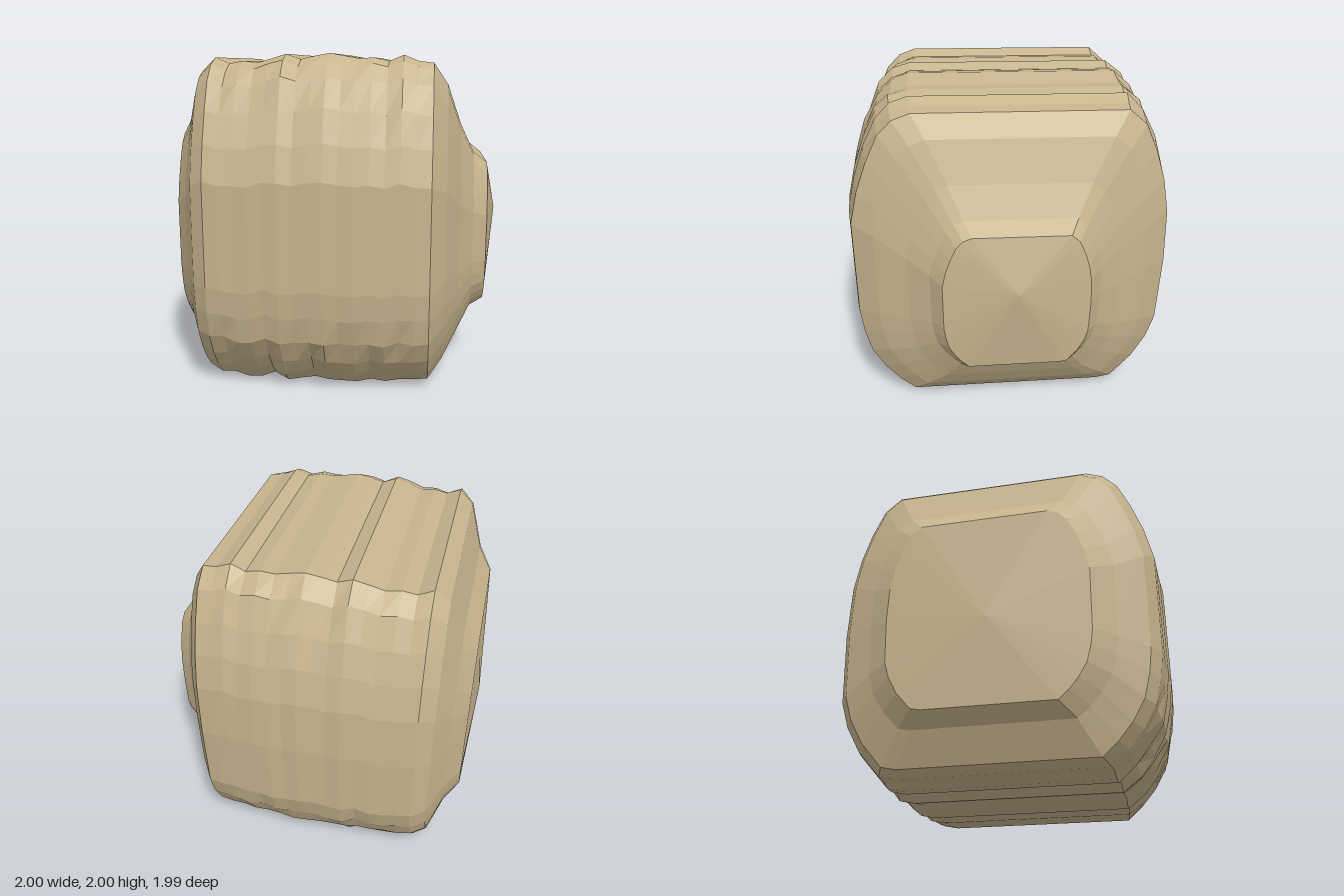
import * as THREE from 'three';

// Rounded-square cross-section as [z, y], from -1 to 1, anticlockwise seen from +x.
const SECTION = [
  [0.6, 1], [0.71, 0.96], [0.8, 0.87], [0.88, 0.7], [0.95, 0.51], [1, 0.3],
  [1, -0.34], [0.98, -0.5], [0.94, -0.66], [0.86, -0.8], [0.77, -0.91], [0.67, -1],
  [-0.6, -1], [-0.7, -0.98], [-0.84, -0.82], [-0.93, -0.66], [-0.98, -0.5], [-1, -0.05],
  [-0.99, 0.3], [-0.95, 0.52], [-0.89, 0.71], [-0.81, 0.89], [-0.7, 0.985],
];

// Evenly spaced rings along x: [bottom y, top y, half depth].
const RINGS = [
  [0.33, 1.53, 0.59], [0.25, 1.65, 0.72], [0.06, 1.9, 0.89], [0.03, 1.975, 0.95],
  [0.035, 1.94, 0.96], [0.01, 1.955, 0.965], [0.015, 1.945, 0.975], [0.05, 1.97, 0.98],
  [0.005, 1.995, 0.99], [0.02, 1.965, 0.985], [0.035, 1.985, 0.99], [0.02, 2, 0.995],
  [0.015, 1.985, 0.99], [0.015, 1.97, 0.995], [0.035, 1.975, 0.99], [0.02, 1.955, 0.98],
  [0.035, 1.99, 0.975], [0.035, 1.955, 0.965], [0.04, 1.945, 0.95], [0.14, 1.82, 0.82],
  [0.27, 1.58, 0.63], [0.42, 1.4, 0.5], [0.46, 1.335, 0.43],
];
const X_START = -0.96, X_STEP = 0.0856;

function seeded(seed) {
  return () => {
    seed = (seed * 16807) % 2147483647;
    return seed / 2147483647 - 0.5;
  };
}

// Loft through the rings, closed by a shallow fan at each end.
function loftGeometry() {
  const rand = seeded(41);
  const n = SECTION.length, m = RINGS.length;
  const pos = [], index = [];
  RINGS.forEach(([bottom, top, depth], i) => {
    const mid = (bottom + top) / 2, half = (top - bottom) / 2;
    const worn = i > 3 && i < 18 ? 0.018 : 0;
    SECTION.forEach(([z, y]) => {
      // Only the rounded corners are uneven; the flats stay straight.
      const corner = Math.abs(y) > 0.6 && Math.abs(y) < 0.98 ? worn : 0;
      const k = 1 + corner * rand();
      pos.push(X_START + i * X_STEP, mid + y * half * k, z * depth * k);
    });
  });
  const left = n * m, right = left + 1;
  pos.push(-1, 0.85, 0, 1, 1, 0);

  for (let j = 0; j < n; j++) {
    const j2 = (j + 1) % n;
    for (let i = 0; i < m - 1; i++) {
      const a = i * n + j, b = i * n + j2;
      index.push(a, b, a + n, b, b + n, a + n);
    }
    index.push(left, j2, j);
    index.push(right, (m - 1) * n + j, (m - 1) * n + j2);
  }
  const g = new THREE.BufferGeometry();
  g.setAttribute('position', new THREE.Float32BufferAttribute(pos, 3));
  g.setIndex(index);
  g.computeVertexNormals();
  return g;
}

export function createModel() {
  const group = new THREE.Group();
  group.name = 'roundedBlock';
  const material = new THREE.MeshStandardMaterial({ color: 0xc8b58e, flatShading: true });
  const body = new THREE.Mesh(loftGeometry(), material);
  body.name = 'body';
  group.add(body);
  return group;
}
